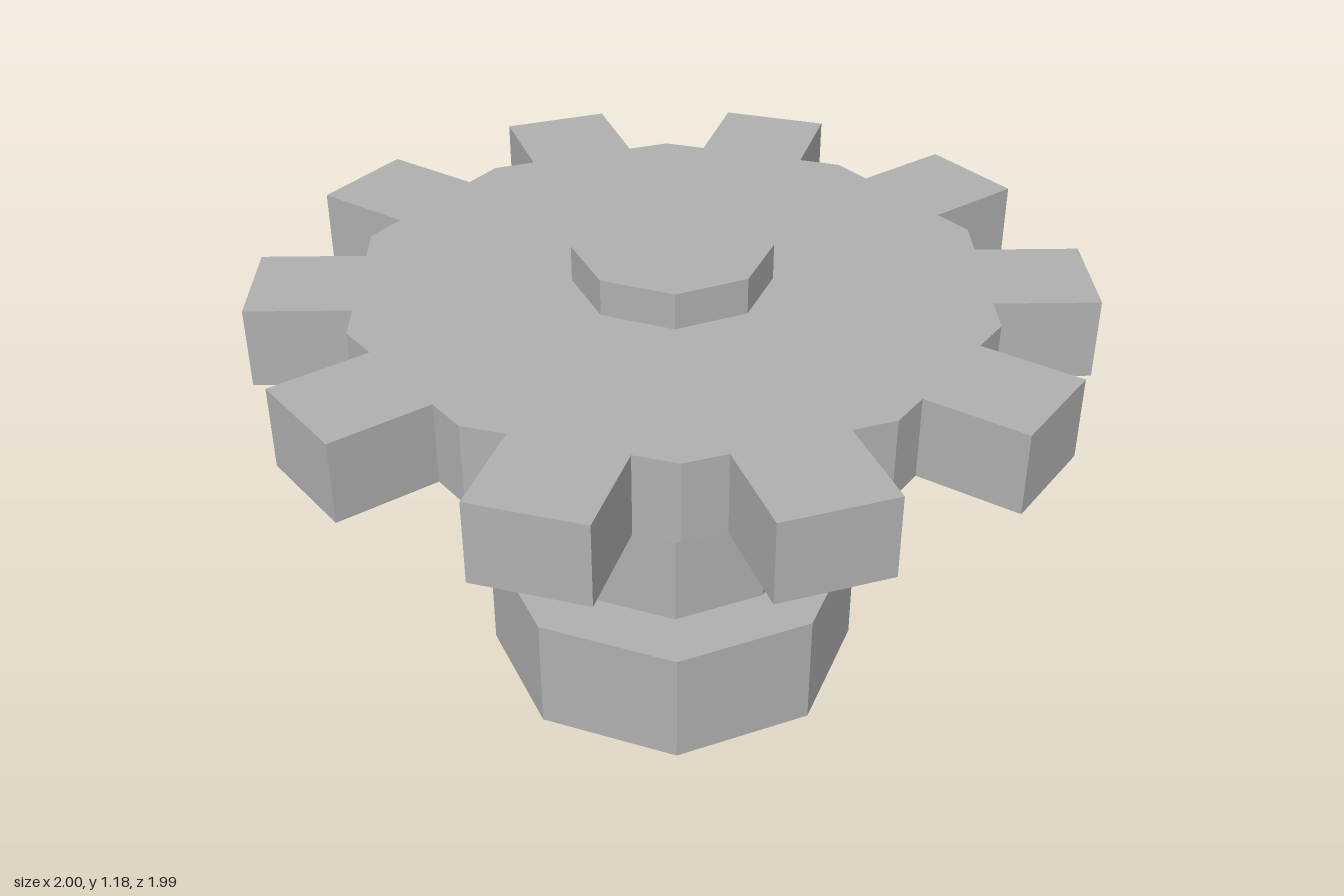
import * as THREE from 'three';

export function createModel() {
  const group = new THREE.Group();
  const steel = new THREE.MeshStandardMaterial({ color: 0xb0b0b0, flatShading: true });
  steel.name = 'grey metal';

  const add = (name, geometry, y) => {
    const mesh = new THREE.Mesh(geometry, steel);
    mesh.name = name;
    mesh.position.y = y;
    group.add(mesh);
  };

  // Octagonal sections stacked along the axle
  const octagon = (name, radius, bottom, top) =>
    add(name, new THREE.CylinderGeometry(radius, radius, top - bottom, 8), (bottom + top) / 2);
  octagon('base', 0.48, 0, 0.305);
  octagon('shaft', 0.317, 0.305, 0.89);
  octagon('cap', 0.24, 1.09, 1.18);

  // Gear wheel: ten square teeth on the sides of a decagon
  const teeth = 10, step = (Math.PI * 2) / teeth;
  const halfWidth = 0.136, tip = 1;
  const valley = 0.784, root = valley * Math.cos(step / 2);
  const points = [];
  for (let i = 0; i < teeth; i++) {
    const corners = [[root, -halfWidth], [tip, -halfWidth], [tip, halfWidth], [root, halfWidth],
      [root, root * Math.tan(step / 2)]];
    for (const [x, y] of corners)
      points.push(new THREE.Vector2(x, y).rotateAround(new THREE.Vector2(), i * step));
  }
  const gear = new THREE.ExtrudeGeometry(new THREE.Shape(points), { depth: 0.2, bevelEnabled: false });
  gear.rotateX(-Math.PI / 2);
  add('gearWheel', gear, 0.89);

  return group;
}
